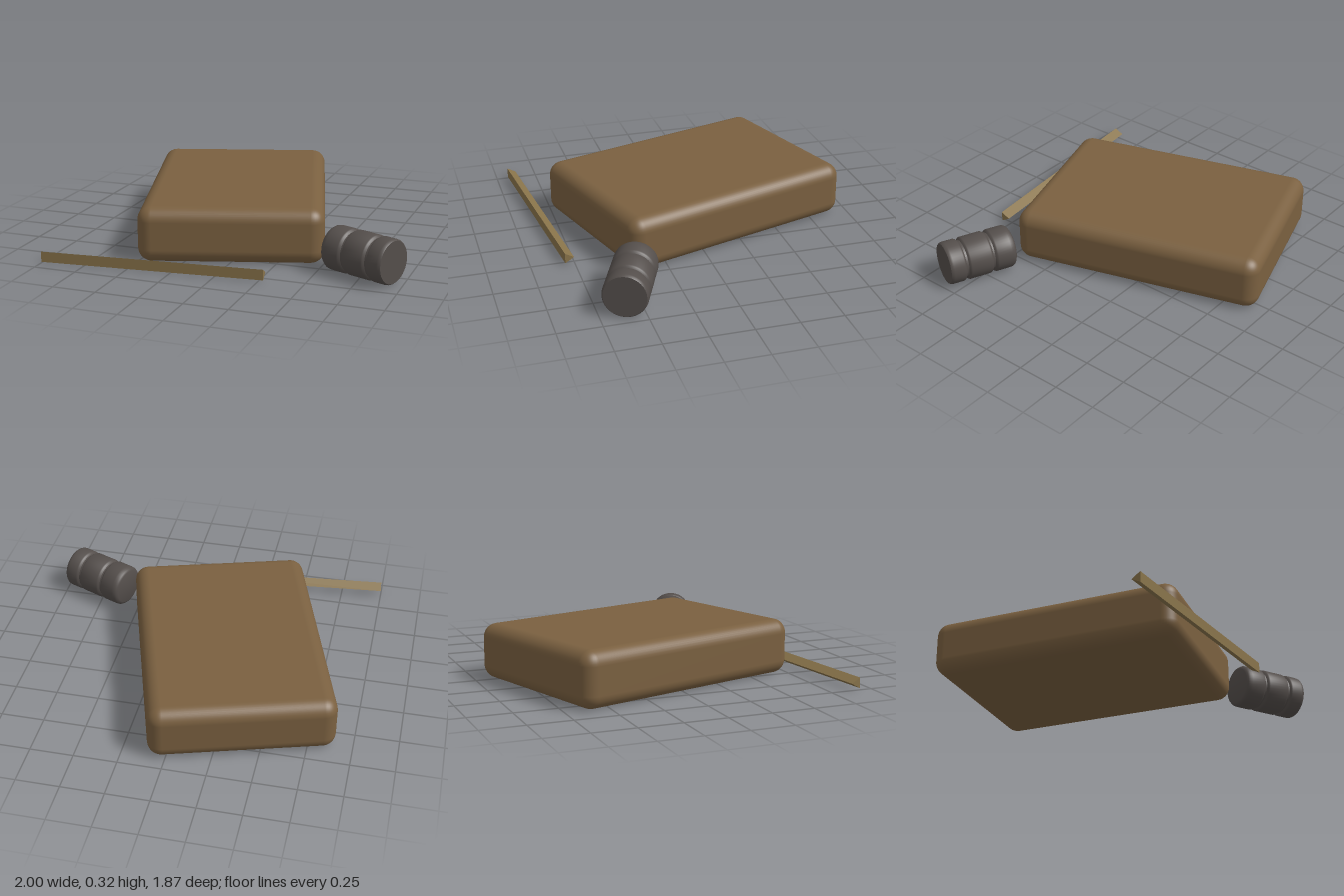
import * as THREE from 'three';
import { RoundedBoxGeometry } from 'three/addons/geometries/RoundedBoxGeometry.js';
import { toCreasedNormals } from 'three/addons/utils/BufferGeometryUtils.js';

function addPart(group, name, geometry, color, position, turn, flatShading = false) {
  const mesh = new THREE.Mesh(geometry, new THREE.MeshStandardMaterial({ color, flatShading }));
  mesh.name = name;
  mesh.position.set(...position);
  mesh.rotation.y = turn;
  group.add(mesh);
}

export function createModel() {
  const group = new THREE.Group();

  // Thick soft-cornered block lying flat
  addPart(group, 'block', new RoundedBoxGeometry(1.05, 0.32, 1.48, 5, 0.08),
    0x7a6040, [-0.2, 0.162, -0.095], 0.297);

  // Thin three-sided stick in front, apex pointing back
  const stick = new THREE.CylinderGeometry(0.035, 0.035, 1.28, 3, 1, false, Math.PI);
  stick.rotateZ(-Math.PI / 2);
  addPart(group, 'stick', stick, 0x88734a, [-0.36, 0.041, 0.85], 0.098, true);

  // Grooved barrel on its side: [radius, distance along axis]
  const profile = [
    [0, 0], [0.105, 0], [0.117, 0.006], [0.125, 0.018], [0.127, 0.035],
    [0.127, 0.118], [0.123, 0.126], [0.113, 0.134], [0.113, 0.144], [0.123, 0.152], [0.127, 0.16],
    [0.127, 0.285], [0.123, 0.292], [0.113, 0.299], [0.113, 0.311], [0.123, 0.318], [0.127, 0.326],
    [0.127, 0.39], [0.125, 0.402], [0.119, 0.41], [0, 0.41],
  ].map(([r, t]) => new THREE.Vector2(r, t - 0.205));
  const barrel = new THREE.LatheGeometry(profile, 48);
  barrel.rotateZ(-Math.PI / 2);
  addPart(group, 'barrel', toCreasedNormals(barrel, 0.7),
    0x544e4b, [0.76, 0.129, 0.54], -0.4);

  return group;
}
